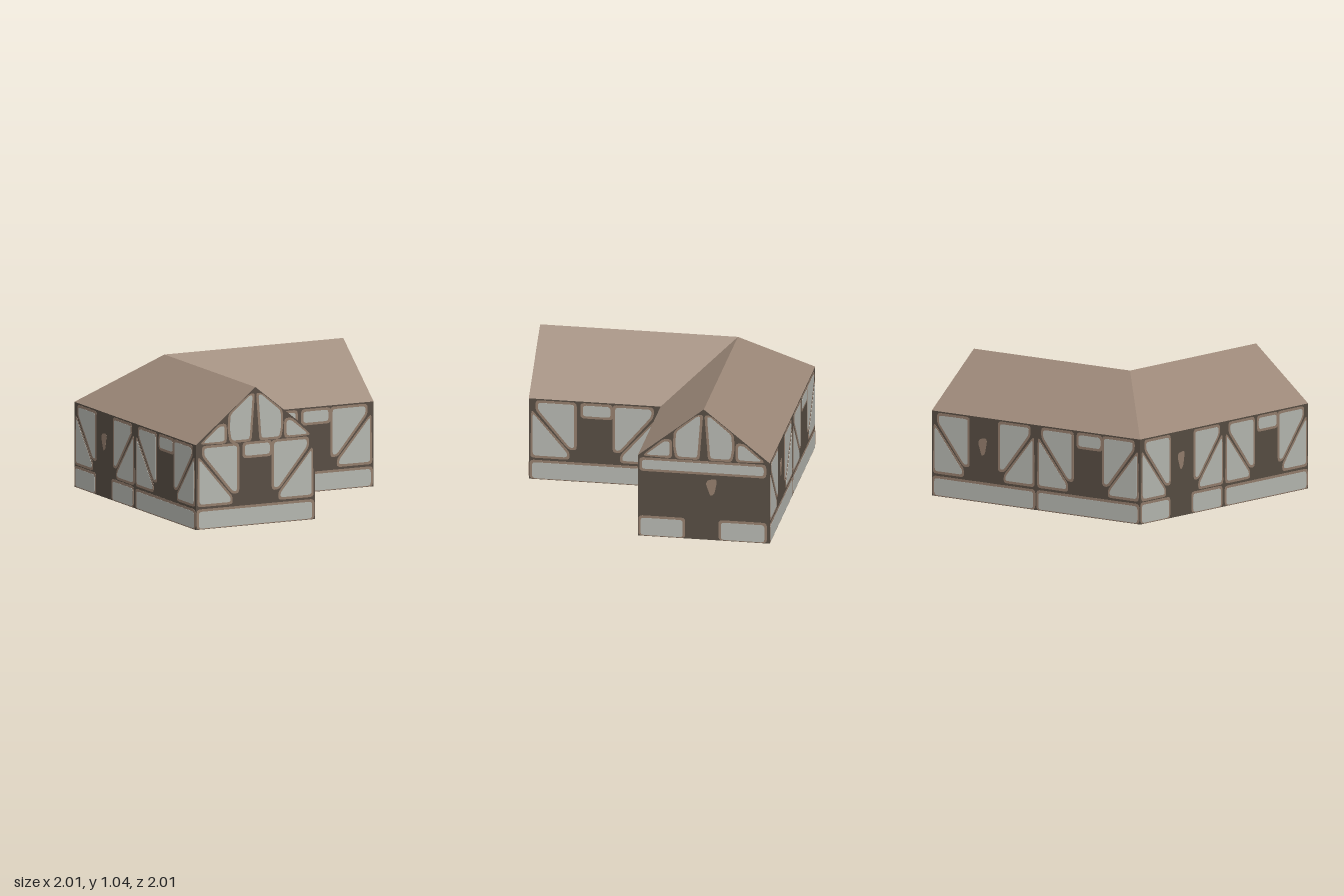
import * as THREE from 'three';

const EAVE = 0.645, RIDGE = 1.045;

const mat = (name, color, side = THREE.FrontSide) => {
  const m = new THREE.MeshStandardMaterial({ color, side });
  m.name = name;
  return m;
};

// Panels are convex outlines in wall coordinates: u 0..1 along the wall, v up
const mirror = (pts) => pts.map(([u, v]) => [1 - u, v]).reverse();
const rect = (u0, v0, u1, v1) => [[u0, v0], [u1, v0], [u1, v1], [u0, v1]];

const BRACED = [
  [[0.07, 0.56], [0.31, 0.27], [0.345, 0.27], [0.345, 0.615], [0.07, 0.615]],
  [[0.03, 0.19], [0.29, 0.19], [0.29, 0.225], [0.03, 0.53]],
];
const BRACED_PAIR = [...BRACED, ...BRACED.map(mirror)];
const BASE = rect(0.025, 0.008, 0.975, 0.135);
const BASE_SPLIT = [rect(0.02, 0.008, 0.34, 0.145), rect(0.63, 0.008, 0.96, 0.145)];
const TOP_PANEL = rect(0.41, 0.53, 0.62, 0.615);
const BLOB = [[0.55, 0.35], [0.58, 0.37], [0.6, 0.47], [0.59, 0.49], [0.53, 0.48], [0.515, 0.45]];
const GABLE_HALF = [
  [[0.06, 0.655], [0.24, 0.655], [0.24, 0.77], [0.2, 0.77]],
  [[0.3, 0.655], [0.45, 0.655], [0.475, 0.985], [0.45, 0.985], [0.29, 0.85], [0.285, 0.74]],
];
const GABLE = [...GABLE_HALF, ...GABLE_HALF.map(mirror)];

const WALLS = {
  main: { panels: [BASE, TOP_PANEL, ...BRACED_PAIR], trims: [] },
  lamp: { panels: [BASE, ...BRACED_PAIR], trims: [BLOB.map(([u, v]) => [u - 0.07, v])] },
  lampSplit: { panels: [...BASE_SPLIT, ...BRACED_PAIR], trims: [BLOB.map(([u, v]) => [u - 0.07, v])] },
  plain: { panels: [...BASE_SPLIT, rect(0.03, 0.54, 0.955, 0.612)], trims: [BLOB] },
};

// Grow a counter-clockwise outline by d, staying on the wall
function grow(pts, d) {
  const n = pts.length;
  return pts.map((p, i) => {
    const c = new THREE.Vector2(...p);
    const a = c.clone().sub(new THREE.Vector2(...pts[(i + n - 1) % n])).normalize();
    const b = new THREE.Vector2(...pts[(i + 1) % n]).sub(c).normalize();
    const out = new THREE.Vector2(a.y + b.y, -a.x - b.x).normalize();
    const cos = out.x * a.y - out.y * a.x;
    c.addScaledVector(out, Math.min(d / cos, d * 1.6));
    c.x = THREE.MathUtils.clamp(c.x, 0.004, 0.996);
    const top = EAVE - 0.006 + 0.8 * Math.min(c.x, 1 - c.x);
    c.y = THREE.MathUtils.clamp(c.y, 0.002, top);
    return [c.x, c.y];
  });
}

// Thin plate with rounded corners, centred in the wall so it shows on both faces
function plate(pts, thick, radius) {
  const s = new THREE.Shape();
  const v = pts.map((p) => new THREE.Vector2(...p));
  const n = v.length;
  v.forEach((c, i) => {
    const toward = (q) => {
      const len = c.distanceTo(q);
      return c.clone().lerp(q, Math.min(radius, len * 0.4) / len);
    };
    const a = toward(v[(i + n - 1) % n]), b = toward(v[(i + 1) % n]);
    if (i === 0) s.moveTo(a.x, a.y); else s.lineTo(a.x, a.y);
    s.quadraticCurveTo(c.x, c.y, b.x, b.y);
  });
  s.closePath();
  const g = new THREE.ExtrudeGeometry(s, { depth: thick, bevelEnabled: false, curveSegments: 3 });
  return g.translate(0, 0, -thick / 2);
}

export function createModel() {
  const house = new THREE.Group();
  house.name = 'house';
  const timber = mat('dark timber', 0x564c42, THREE.DoubleSide);
  const trim = mat('tan timber edge', 0x927c6b);
  const plaster = mat('plaster', 0xb3b5ae);
  const roofing = mat('roof', 0x9c8878, THREE.DoubleSide);
  const flooring = mat('brown floor', 0x74452b, THREE.DoubleSide);

  const add = (parent, name, geometry, material) => {
    const m = new THREE.Mesh(geometry, material);
    m.name = name;
    parent.add(m);
    return m;
  };

  // One wall bay: timber sheet, tan edging and plaster panels
  function wall(name, kind, x, z, turn, gabled = false) {
    const g = new THREE.Group();
    g.name = name;
    const outline = [[0, 0], [1, 0], [1, EAVE]];
    if (gabled) outline.push([0.5, RIDGE]);
    outline.push([0, EAVE]);
    const sheet = new THREE.Shape(outline.map((p) => new THREE.Vector2(...p)));
    add(g, 'timberWall', new THREE.ShapeGeometry(sheet), timber);
    const { panels, trims } = WALLS[kind];
    for (const p of gabled ? [...panels, ...GABLE] : panels) {
      add(g, 'panelEdge', plate(grow(p, 0.019), 0.003, 0.03), trim);
      add(g, 'plasterPanel', plate(p, 0.006, 0.025), plaster);
    }
    for (const p of trims) add(g, 'tanPatch', plate(p, 0.003, 0.02), trim);
    g.position.set(x, 0, z);
    g.rotation.y = turn * Math.PI / 2;
    house.add(g);
  }

  wall('frontGableWall', 'main', -1, 1, 0, true);
  wall('innerFrontWall', 'main', 0, 0, 0);
  wall('innerSideWall', 'main', 0, 1, 1);
  wall('sideGableWall', 'plain', 1, 0, 1, true);
  wall('backWallLeft', 'lamp', 1, -1, 2);
  wall('backWallRight', 'main', 0, -1, 2);
  wall('outerSideWallBack', 'lampSplit', -1, -1, -1);
  wall('outerSideWallFront', 'main', -1, 0, -1);

  // Roof slopes meeting in a hip at the outer corner and a valley at the inner one
  const slopes = {
    outerSideRoof: [[-1, EAVE, -1], [-1, EAVE, 1], [-0.5, RIDGE, 1], [-0.5, RIDGE, -0.5]],
    backRoof: [[1, EAVE, -1], [-1, EAVE, -1], [-0.5, RIDGE, -0.5], [1, RIDGE, -0.5]],
    innerSideRoof: [[0, EAVE, 1], [0, EAVE, 0], [-0.5, RIDGE, -0.5], [-0.5, RIDGE, 1]],
    innerFrontRoof: [[0, EAVE, 0], [1, EAVE, 0], [1, RIDGE, -0.5], [-0.5, RIDGE, -0.5]],
  };
  for (const [name, corners] of Object.entries(slopes)) {
    const g = new THREE.BufferGeometry();
    g.setAttribute('position', new THREE.Float32BufferAttribute(corners.flat(), 3));
    g.setIndex([0, 1, 2, 0, 2, 3]);
    g.computeVertexNormals();
    add(house, name, g, roofing);
  }

  // Floor inside the front wing
  const floor = add(house, 'floor', new THREE.PlaneGeometry(0.78, 0.72), flooring);
  floor.rotation.x = -Math.PI / 2;
  floor.position.set(-0.605, 0.03, 0.635);

  return house;
}
